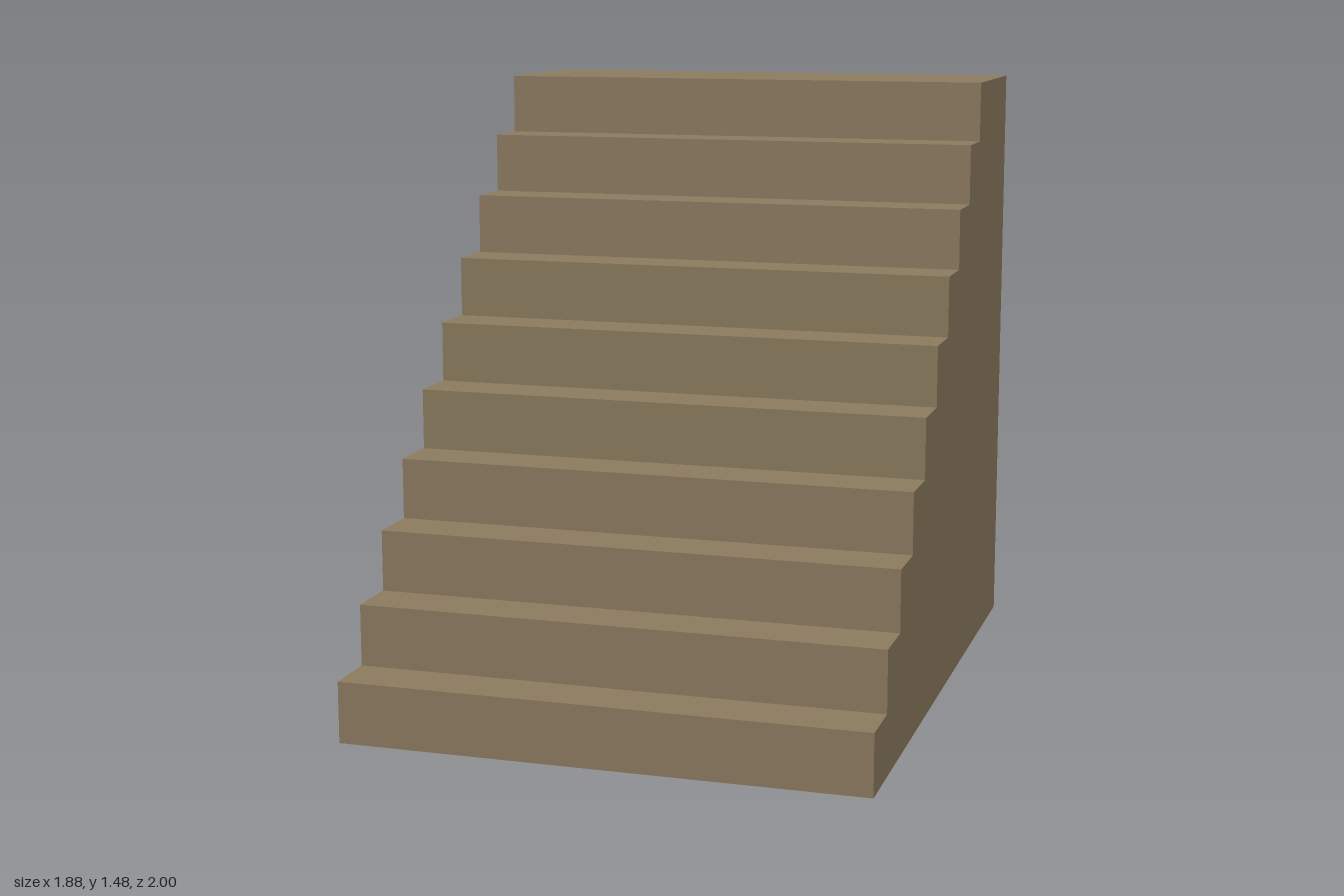
import * as THREE from 'three';

export function createModel() {
  const group = new THREE.Group();
  group.name = 'staircase';

  const wood = new THREE.MeshStandardMaterial({ color: 0x8b7a5e });
  wood.name = 'brown';

  const steps = 10, width = 1.263, length = 1.58, height = 1.48;
  const rise = height / steps, tread = 0.1311;

  // Side profile: x runs towards the foot of the stairs
  const profile = new THREE.Shape();
  profile.moveTo(-length / 2, 0);
  profile.lineTo(length / 2, 0);
  for (let i = 0; i < steps; i++) {
    const edge = length / 2 - i * tread;
    if (i > 0) profile.lineTo(edge, i * rise);
    profile.lineTo(edge, (i + 1) * rise);
  }
  profile.lineTo(-length / 2, height);
  profile.closePath();

  // Solid flight with a deeper top landing
  const geometry = new THREE.ExtrudeGeometry(profile, { depth: width, bevelEnabled: false });
  geometry.translate(0, 0, -width / 2);
  geometry.rotateY(-Math.PI / 2);
  const flight = new THREE.Mesh(geometry, wood);
  flight.name = 'stairFlight';
  flight.rotation.y = -Math.PI / 6;
  group.add(flight);

  return group;
}
